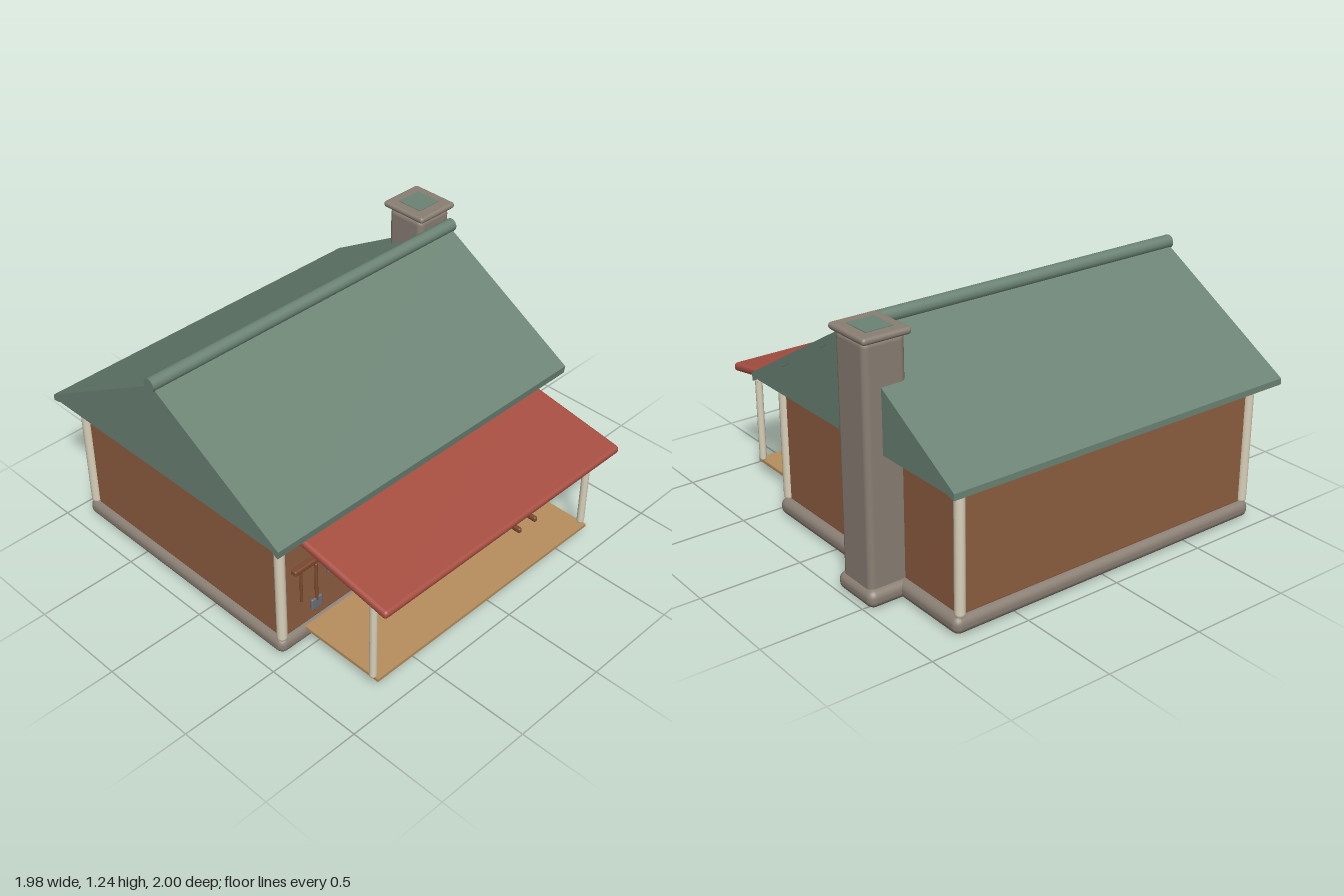
import * as THREE from 'three';
import { RoundedBoxGeometry } from 'three/addons/geometries/RoundedBoxGeometry.js';

const mat = (name, color, side = THREE.FrontSide) => {
  const m = new THREE.MeshStandardMaterial({ color, side });
  m.name = name;
  return m;
};

export function createModel() {
  const model = new THREE.Group();
  model.name = 'cottage';

  const roofGreen = mat('roofGreen', 0x6b8374, THREE.DoubleSide);
  const porchRed = mat('porchRed', 0xa84f42);
  const wallBrown = mat('wallBrown', 0x8f5e41);
  const darkWood = mat('darkWood', 0x7c492f);
  const stone = mat('stone', 0x8a7f74);
  const plank = mat('plank', 0xb88f5e);
  const cream = mat('cream', 0xd9d1ba);
  const glass = mat('glass', 0xd9bd82);
  const leaf = mat('leaf', 0x5f9a45);
  const metal = mat('metal', 0x69737a);

  const add = (name, geo, material, x = 0, y = 0, z = 0, parent = model) => {
    const m = new THREE.Mesh(geo, material);
    m.name = name;
    m.position.set(x, y, z);
    parent.add(m);
    return m;
  };
  // Box given by its extents, with optional rounded edges
  const box = (name, material, [x0, x1], [y0, y1], [z0, z1], r = 0, parent = model) => {
    const s = [x1 - x0, y1 - y0, z1 - z0];
    const geo = r ? new RoundedBoxGeometry(...s, 3, Math.min(r, Math.min(...s) * 0.49)) : new THREE.BoxGeometry(...s);
    return add(name, geo, material, (x0 + x1) / 2, (y0 + y1) / 2, (z0 + z1) / 2, parent);
  };
  // Upright post or, with along = 'x', a horizontal rod
  const post = (name, material, r, x, z, y0, y1, parent = model) =>
    add(name, new THREE.CapsuleGeometry(r, y1 - y0 - 2 * r, 4, 12), material, x, (y0 + y1) / 2, z, parent);
  const rod = (name, material, r, x0, x1, y, z, parent = model) => {
    const m = add(name, new THREE.CylinderGeometry(r, r, x1 - x0, 16), material, (x0 + x1) / 2, y, z, parent);
    m.rotation.z = Math.PI / 2;
    return m;
  };
  // Prism along x from a profile of (distance from ridge, y) points
  const RIDGE = -0.23;
  const prism = (name, material, pts, x0, x1) => {
    const shape = new THREE.Shape(pts.map(([z, y]) => new THREE.Vector2(z + RIDGE, y)));
    const geo = new THREE.ExtrudeGeometry(shape, { depth: x1 - x0, bevelEnabled: false });
    return add(name, geo.rotateY(-Math.PI / 2), material, x1);
  };

  // Foundation, walls and attic
  box('foundation', stone, [-0.915, 0.825], [0, 0.085], [-0.93, 0.465], 0.038);
  box('walls', wallBrown, [-0.885, 0.785], [0.07, 0.72], [-0.9, 0.44], 0.02);
  prism('attic', wallBrown, [[-0.66, 0.7], [0.66, 0.7], [0.66, 0.735], [0, 1.11], [-0.66, 0.735]], -0.88, 0.78);
  for (const x of [-0.885, 0.782]) for (const z of [-0.897, 0.437])
    post('cornerPost', cream, 0.025, x, z, 0.07, 0.72);

  // Main roof: folded shell, gable ends and ridge pole
  prism('roof', roofGreen, [
    [-0.77, 0.685], [-0.735, 0.69], [0, 1.125], [0.735, 0.69], [0.765, 0.675],
    [0.77, 0.715], [0, 1.165], [-0.77, 0.715]], -0.98, 0.885);
  for (const x of [-0.979, 0.864])
    prism('gable', roofGreen, [[-0.76, 0.695], [0.76, 0.695], [0, 1.15]], x, x + 0.02);
  rod('ridgePole', roofGreen, 0.033, -0.99, 0.9, 1.17, RIDGE);

  // Chimney
  box('chimneyFoot', stone, [0.735, 0.985], [0, 0.085], [-0.545, -0.28], 0.038);
  box('chimneyShaft', stone, [0.755, 0.965], [0.03, 1.21], [-0.515, -0.3], 0.03);
  box('chimneyCap', stone, [0.745, 0.985], [1.205, 1.237], [-0.545, -0.285], 0.015);
  box('flueCover', roofGreen, [0.797, 0.933], [1.234, 1.24], [-0.487, -0.347]);

  // Porch
  box('porchFloor', plank, [-0.76, 0.67], [0.06, 0.076], [0.44, 0.905]);
  const awning = add('porchRoof', new RoundedBoxGeometry(1.55, 0.042, 0.57, 3, 0.018), porchRed, -0.045, 0.6, 0.72);
  awning.rotation.x = 0.17;
  for (const x of [-0.76, 0.665]) post('porchPost', cream, 0.018, x, 0.875, 0.07, 0.525);
  rod('porchBeam', cream, 0.013, -0.775, 0.68, 0.505, 0.875);

  // Door and mat
  box('door', darkWood, [-0.39, -0.145], [0.08, 0.49], [0.43, 0.452], 0.005);
  for (const x of [-0.405, -0.135]) post('doorJamb', cream, 0.015, x, 0.45, 0.075, 0.51);
  rod('doorLintel', cream, 0.014, -0.42, -0.12, 0.5, 0.45);
  box('doorHandle', plank, [-0.19, -0.178], [0.295, 0.33], [0.45, 0.463], 0.004);
  box('doorMat', leaf, [-0.38, -0.16], [0.074, 0.088], [0.51, 0.66], 0.005);

  // Pair of windows with glazing bars
  for (const [x0, x1] of [[0.14, 0.42], [0.465, 0.745]]) {
    const win = new THREE.Group();
    win.name = 'window';
    model.add(win);
    const mid = (x0 + x1) / 2;
    box('pane', glass, [x0, x1], [0.3, 0.5], [0.44, 0.446], 0, win);
    for (const x of [x0, x1]) post('sideFrame', cream, 0.013, x, 0.45, 0.295, 0.515, win);
    box('mullion', cream, [mid - 0.006, mid + 0.006], [0.3, 0.5], [0.44, 0.455], 0, win);
    for (const y of [0.34, 0.435])
      box('glazingBar', cream, [x0, x1], [y - 0.006, y + 0.006], [0.44, 0.455], 0, win);
    rod('topFrame', cream, 0.013, x0 - 0.015, x1 + 0.015, 0.5, 0.45, win);
  }
  rod('windowSill', cream, 0.012, 0.105, 0.765, 0.298, 0.455);

  // Flower box
  box('flowerBox', darkWood, [0.145, 0.73], [0.235, 0.28], [0.44, 0.525], 0.015);
  box('boxLeaves', leaf, [0.155, 0.72], [0.27, 0.305], [0.455, 0.515], 0.016);
  const bloom = new THREE.SphereGeometry(0.014, 10, 8);
  for (let i = 0; i < 12; i++)
    add('boxFlower', bloom, i % 2 ? porchRed : cream, 0.18 + i * 0.047, 0.312, 0.485 + (i % 3) * 0.008);

  // Potted plant
  const pot = [[0, 0.076], [0.036, 0.076], [0.043, 0.145], [0.051, 0.148], [0.051, 0.167], [0, 0.167]];
  add('pot', new THREE.LatheGeometry(pot.map(p => new THREE.Vector2(...p)), 20), darkWood, -0.003, 0, 0.54);
  add('potLeaves', new THREE.SphereGeometry(0.05, 16, 10).scale(1, 0.65, 1), leaf, -0.003, 0.19, 0.54);
  for (const [x, y, z] of [[-0.025, 0.225, 0.545], [0.015, 0.237, 0.525], [-0.008, 0.235, 0.515], [0.02, 0.222, 0.555]])
    add('potFlower', bloom, cream, x, y, z);

  // Rocking chair
  box('chairSeat', darkWood, [0.385, 0.5], [0.175, 0.19], [0.6, 0.715], 0.006);
  box('chairBack', darkWood, [0.385, 0.5], [0.177, 0.355], [0.603, 0.617], 0.006);
  for (const x of [0.385, 0.5])
    box('chairRocker', darkWood, [x - 0.011, x + 0.011], [0.088, 0.117], [0.585, 0.737], 0.009);

  // Tool rack with hanging tools
  box('toolRail', darkWood, [-0.825, -0.58], [0.425, 0.452], [0.435, 0.47], 0.008);
  post('spadeHandle', darkWood, 0.008, -0.702, 0.468, 0.21, 0.43);
  box('spadeBlade', metal, [-0.735, -0.67], [0.165, 0.228], [0.46, 0.474], 0.006);
  box('handSaw', metal, [-0.637, -0.613], [0.33, 0.43], [0.46, 0.475], 0.005);
  post('rakeHandle', darkWood, 0.007, -0.785, 0.46, 0.25, 0.43);

  // Wall lantern
  const lantern = new THREE.Group();
  lantern.name = 'lantern';
  lantern.position.set(-0.505, 0, 0.495);
  model.add(lantern);
  add('lanternGlass', new THREE.CylinderGeometry(0.02, 0.02, 0.07, 16), cream, 0, 0.51, 0, lantern);
  for (const y of [0.47, 0.55])
    add('lanternRim', new THREE.CylinderGeometry(0.027, 0.027, 0.011, 16), metal, 0, y, 0, lantern);
  box('lanternBracket', metal, [-0.006, 0.006], [0.545, 0.555], [-0.06, 0], 0, lantern);

  return model;
}
